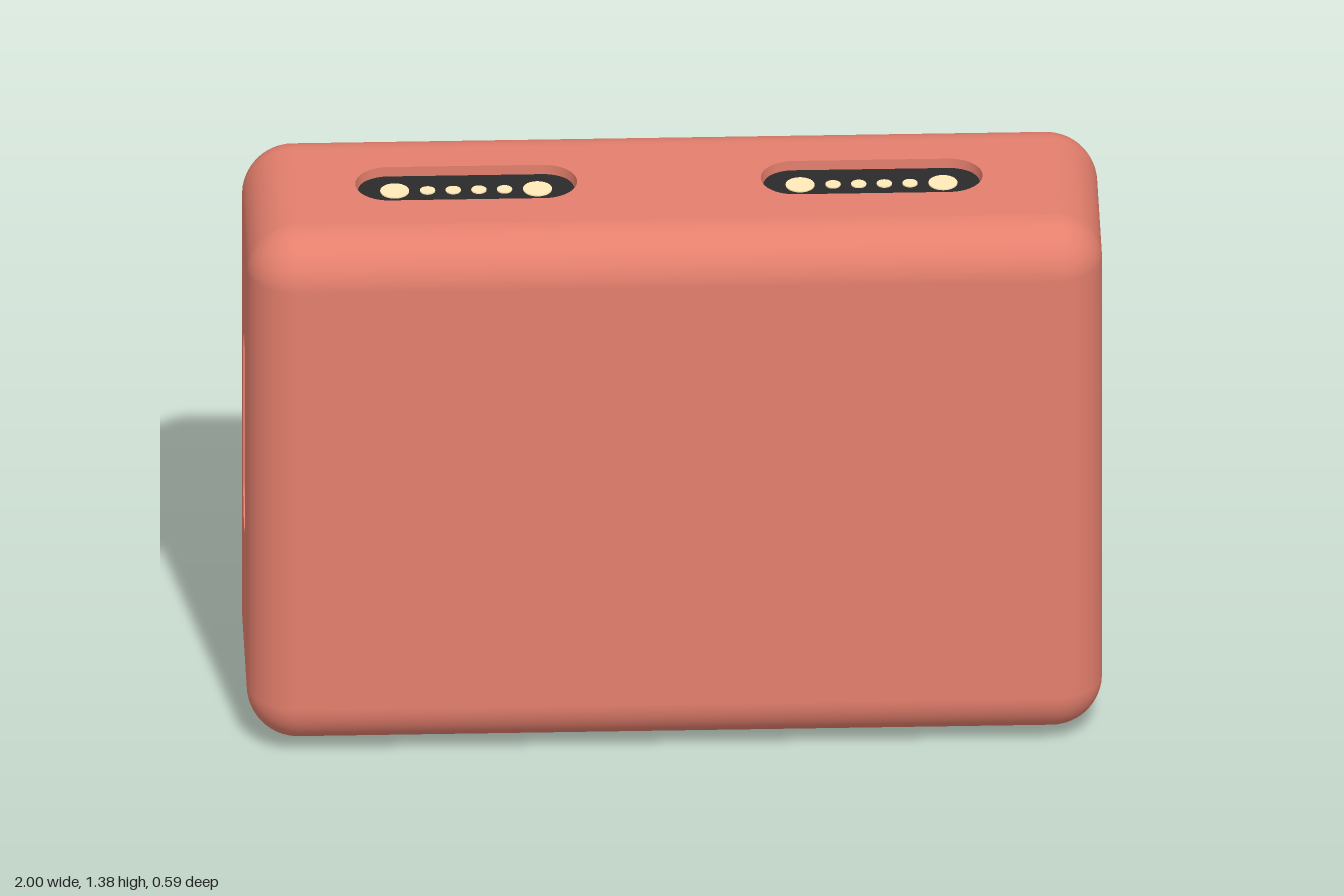
import * as THREE from 'three';
import { RoundedBoxGeometry } from 'three/addons/geometries/RoundedBoxGeometry.js';

const W = 2, H = 1.355, D = 0.594, R = 0.12, CY = 0.7025, WALL = 0.09;

const mat = (color) => new THREE.MeshStandardMaterial({ color, side: THREE.DoubleSide });
const shellMat = mat(0xe47f6d), black = mat(0x2a2a2a), gold = mat(0xffeab8), bezelMat = mat(0x828282),
  glass = mat(0xc8c8c8), grey = mat(0xc0c0c0), yellow = mat(0xe6d62a), blue = mat(0x1818b8),
  amber = mat(0xf0c860), olive = mat(0x8c8a78);

function add(parent, name, geometry, material, x = 0, y = 0, z = 0) {
  const mesh = new THREE.Mesh(geometry, material);
  mesh.name = name;
  mesh.position.set(x, y, z);
  parent.add(mesh);
}

// Rounded rectangle outline, counter-clockwise
function roundRect(w, h, r, cx = 0, cy = 0) {
  const s = new THREE.Shape(), a = w / 2 - r, b = h / 2 - r, q = Math.PI / 2;
  s.absarc(cx + a, cy + b, r, 0, q);
  s.absarc(cx - a, cy + b, r, q, 2 * q);
  s.absarc(cx - a, cy - b, r, 2 * q, 3 * q);
  s.absarc(cx + a, cy - b, r, 3 * q, 4 * q);
  return s;
}
const stadium = (w, h, cx = 0, cy = 0) => roundRect(w, h, Math.min(w, h) / 2 - 0.001, cx, cy);

function circle(r, x, y) {
  const s = new THREE.Shape();
  s.absarc(x, y, r, 0, Math.PI * 2);
  return s;
}

// Extruded outline whose front lies at z = 0 and whose body goes inward
const slab = (shape, depth) => new THREE.ExtrudeGeometry(shape,
  { depth, bevelEnabled: false, curveSegments: 10 }).translate(0, 0, -depth);

// Rounded edges and corners only: the flat centre of each side is left open
function roundedEdges() {
  const g = new RoundedBoxGeometry(W, H, D, 8, R);
  const p = g.attributes.position, n = g.attributes.normal, half = [W / 2, H / 2, D / 2];
  const pos = [], nor = [];
  for (let i = 0; i < p.count; i += 3) {
    const flat = half.some((h, k) => [1, -1].some((s) =>
      [0, 1, 2].every((j) => Math.abs(p.getComponent(i + j, k) - s * h) < 1e-4)));
    if (flat) continue;
    for (let j = 0; j < 3; j++) {
      for (let k = 0; k < 3; k++) {
        pos.push(p.getComponent(i + j, k));
        nor.push(n.getComponent(i + j, k));
      }
    }
  }
  const out = new THREE.BufferGeometry();
  out.setAttribute('position', new THREE.Float32BufferAttribute(pos, 3));
  out.setAttribute('normal', new THREE.Float32BufferAttribute(nor, 3));
  return out;
}

// Flat wall of the case with openings, in a group facing local +z
function wall(parent, name, w, h, holes, position, rx, ry) {
  const g = new THREE.Group();
  g.name = name;
  g.position.set(...position);
  g.rotation.set(rx, ry, 0);
  const a = w / 2 - R, b = h / 2 - R;
  const s = new THREE.Shape([[-a, -b], [a, -b], [a, b], [-a, b]].map((p) => new THREE.Vector2(...p)));
  s.holes.push(...holes);
  add(g, name + 'Panel', slab(s, WALL), shellMat);
  parent.add(g);
  return g;
}

// Recessed pin connector: two large and four small contacts
function connector(parent, angle, cx, cy, recess) {
  const g = new THREE.Group();
  g.name = 'pinConnector';
  g.position.set(cx, cy, -recess);
  g.rotation.z = angle;
  add(g, 'connectorBlock', slab(stadium(0.507, 0.152), 0.1), black);
  for (const x of [-0.167, -0.09, -0.03, 0.03, 0.09, 0.167]) {
    const r = Math.abs(x) > 0.1 ? 0.034 : 0.018;
    add(g, 'contactPin', new THREE.CylinderGeometry(r, r, 0.02, 24).rotateX(Math.PI / 2), gold, x, 0, -0.007);
  }
  parent.add(g);
}

// Sloping recess with a floor, lofted between two outlines
function bevelRecess(parent, w, h, inset, depth, cx, cy) {
  const outer = roundRect(w, h, 0.03).getPoints(4);
  const innerShape = roundRect(w - 2 * inset, h - 2 * inset, 0.012);
  const inner = innerShape.getPoints(4);
  const pos = [];
  outer.forEach((o, i) => {
    const k = (i + 1) % outer.length, o2 = outer[k], a = inner[i], b = inner[k];
    pos.push(o2.x, o2.y, 0, o.x, o.y, 0, a.x, a.y, -depth,
      o2.x, o2.y, 0, a.x, a.y, -depth, b.x, b.y, -depth);
  });
  const g = new THREE.BufferGeometry();
  g.setAttribute('position', new THREE.Float32BufferAttribute(pos, 3));
  g.computeVertexNormals();
  add(parent, 'recessSlope', g, shellMat, cx, cy, 0);
  add(parent, 'recessFloor', new THREE.ShapeGeometry(innerShape, 4), shellMat, cx, cy, -depth);
}

export function createModel() {
  const model = new THREE.Group();
  model.name = 'displayCase';
  add(model, 'caseEdges', roundedEdges(), shellMat, 0, CY, 0);

  // Plain front wall
  wall(model, 'frontWall', W, H, [], [0, CY, D / 2], 0, 0);

  // Top wall with two connectors
  const topX = [-0.481, 0.467];
  const top = wall(model, 'topWall', W, D, topX.map((x) => stadium(0.518, 0.159, x, 0.008)),
    [0, CY + H / 2, 0], -Math.PI / 2, 0);
  topX.forEach((x) => connector(top, 0, x, 0.015, 0.025));

  // Side walls with one upright connector each
  for (const s of [1, -1]) {
    const side = wall(model, s > 0 ? 'leftWall' : 'rightWall', D, H,
      [stadium(0.157, 0.518, s * 0.0065, 0.024)], [s * W / 2, CY, 0], 0, s * Math.PI / 2);
    connector(side, Math.PI / 2, s * 0.014, 0.022, 0.042);
  }

  // Back wall with display window and four screw holes (local x is mirrored)
  const screws = [-0.803, 0.803].flatMap((x) => [[x, 0.467], [x, -0.385]]);
  const back = wall(model, 'backWall', W, H,
    [roundRect(1.47, 1.046, 0.004, 0, 0.034), ...screws.map(([x, y]) => circle(0.059, x, y))],
    [0, CY, -D / 2], 0, Math.PI);
  add(back, 'displayBezel', new THREE.BoxGeometry(1.455, 1.034, 0.06), bezelMat, 0, 0.034, -0.058);
  add(back, 'displayGlass', new THREE.BoxGeometry(1.2, 0.93, 0.01), glass, 0.046, 0.016, -0.03);
  add(back, 'ribbonTab', new THREE.BoxGeometry(0.012, 0.215, 0.05), amber, -0.73, 0.212, -0.027);
  for (const [x, y] of screws) {
    add(back, 'screwSeat', new THREE.RingGeometry(0.046, 0.06, 24), shellMat, x, y, -0.035);
    add(back, 'screwBore', new THREE.CylinderGeometry(0.046, 0.046, 0.035, 24, 1, true)
      .rotateX(Math.PI / 2), shellMat, x, y, -0.052);
    add(back, 'solderPad', new THREE.CircleGeometry(0.036, 24), yellow, x, y, -0.066);
    add(back, 'boardCorner', new THREE.CircleGeometry(0.055, 24), blue, x, y, -0.069);
  }

  // Underside with three bevelled ports (local y is +z)
  const ports = [[0.64, 0, 0.38, 0.18], [0.1, 0.03, 0.33, 0.15], [-0.52, 0.02, 0.41, 0.135]];
  const bottom = wall(model, 'bottomWall', W, D, ports.map(([x, y, w, h]) => roundRect(w, h, 0.03, x, y)),
    [0, CY - H / 2, 0], Math.PI / 2, 0);
  ports.forEach(([x, y, w, h]) => bevelRecess(bottom, w, h, 0.035, 0.055, x, y));
  add(bottom, 'switchBody', new THREE.BoxGeometry(0.13, 0.07, 0.03), grey, 0.64, 0, -0.045);
  add(bottom, 'switchKnob', new THREE.BoxGeometry(0.055, 0.045, 0.075), grey, 0.64, 0, -0.0125);
  const socket = stadium(0.2, 0.066);
  socket.holes.push(stadium(0.184, 0.05));
  add(bottom, 'socketShell', slab(socket, 0.025), grey, 0.1, 0.03, -0.035);
  add(bottom, 'socketTongue', new THREE.BoxGeometry(0.14, 0.016, 0.02), grey, 0.1, 0.03, -0.05);
  add(bottom, 'cardSlot', new THREE.BoxGeometry(0.29, 0.03, 0.02), olive, -0.52, 0.02, -0.05);

  return model;
}
